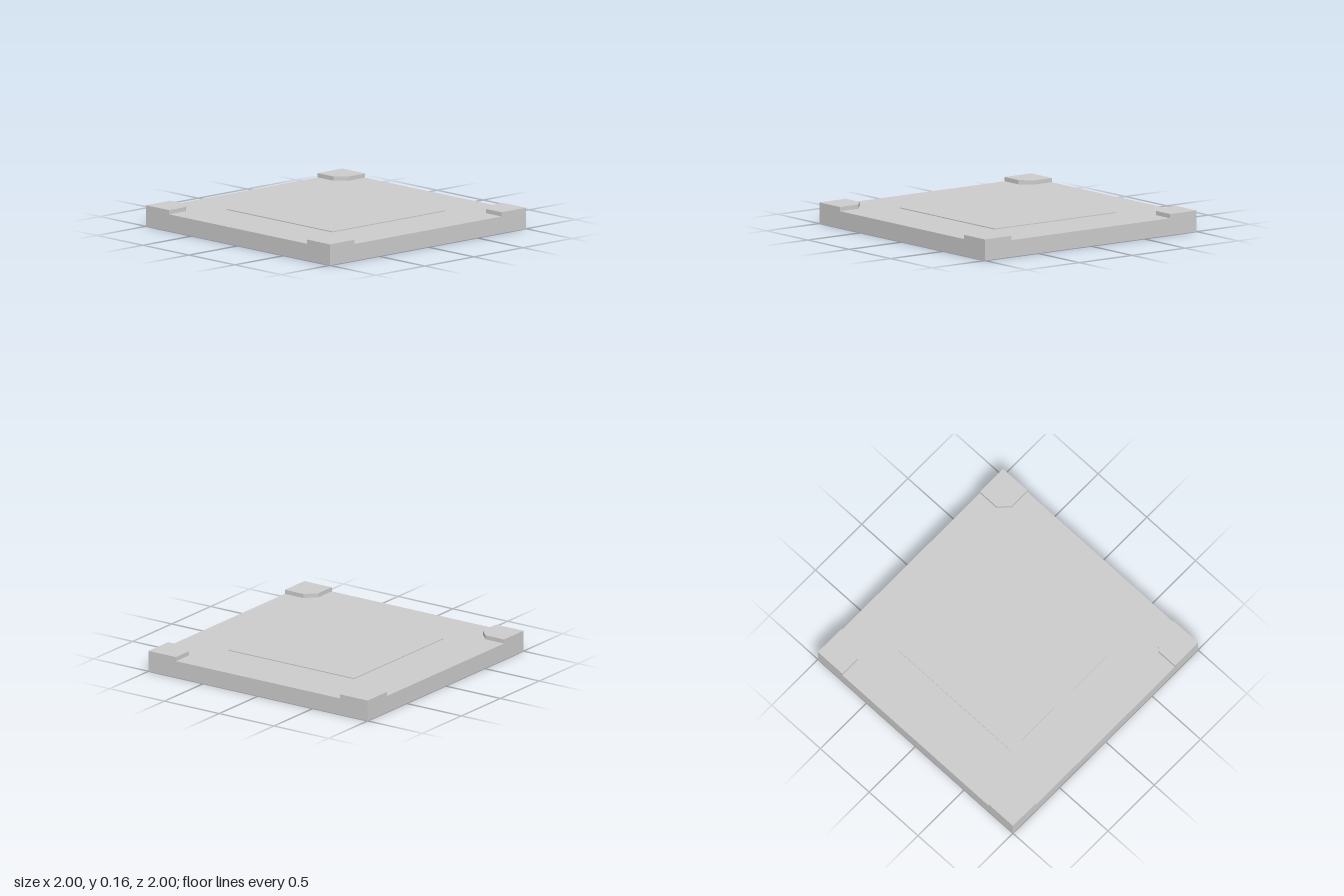
import * as THREE from 'three';

const PLATE_TOP = 0.128;
const CORNER_TOP = 0.16;
const PANEL_TOP = 0.135;

export function createModel() {
  const model = new THREE.Group();
  model.name = 'floorTile';
  const material = new THREE.MeshStandardMaterial({ color: 0xcccccc, flatShading: true });

  const add = (name, geometry, y) => {
    const mesh = new THREE.Mesh(geometry, material);
    mesh.name = name;
    mesh.position.y = y;
    model.add(mesh);
    return mesh;
  };

  // Square base plate
  add('basePlate', new THREE.BoxGeometry(2, PLATE_TOP, 2), PLATE_TOP / 2);

  // Thin raised panel in the middle
  const panelHeight = PANEL_TOP - PLATE_TOP;
  add('centrePanel', new THREE.BoxGeometry(1.145, panelHeight, 1.145), PLATE_TOP + panelHeight / 2);

  // Raised corner pads, the inner corner of each cut at 45 degrees
  const outline = new THREE.Shape([
    [1, 0.75], [1, 1], [0.75, 1], [0.75, 0.83], [0.83, 0.75],
  ].map(([x, y]) => new THREE.Vector2(x, y)));
  const padGeometry = new THREE.ExtrudeGeometry(outline, {
    depth: CORNER_TOP - PLATE_TOP,
    bevelEnabled: false,
  }).rotateX(-Math.PI / 2);
  const names = ['backLeftPad', 'backRightPad', 'frontRightPad', 'frontLeftPad'];
  names.forEach((name, i) => {
    add(name, padGeometry, PLATE_TOP).rotation.y = i * Math.PI / 2;
  });

  return model;
}
